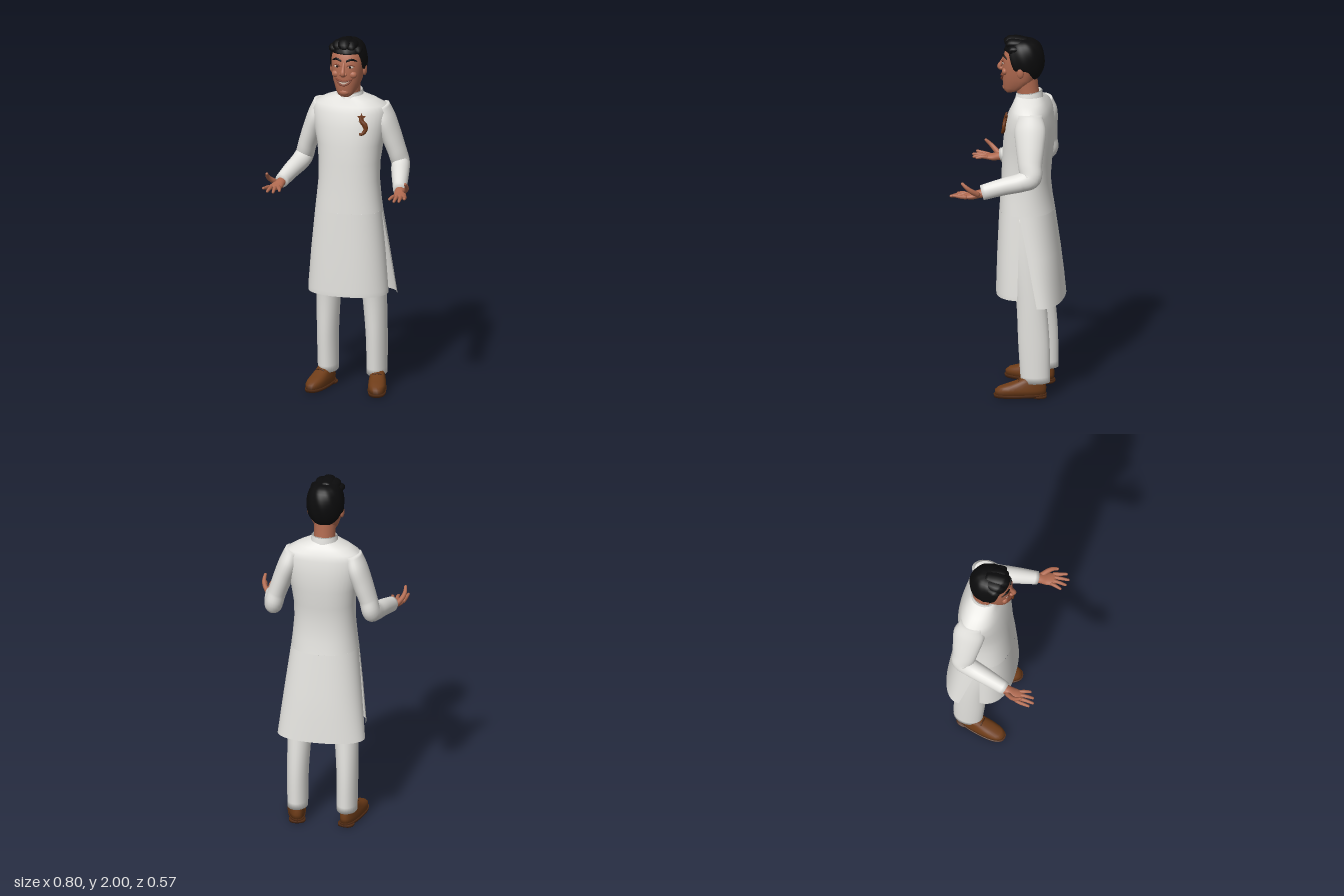
import * as THREE from 'three';

const V = (x, y, z) => new THREE.Vector3(x, y, z);
const mat = (name, color, side = THREE.FrontSide) => {
  const m = new THREE.MeshStandardMaterial({ color, side });
  m.name = name;
  return m;
};

// Skin a list of equal-length rings; rings turn anticlockwise about the direction of travel.
function loft(rings, closed = true, caps = true) {
  const n = rings[0].length, pos = [], idx = [];
  rings.forEach(r => r.forEach(p => pos.push(p.x, p.y, p.z)));
  for (let i = 0; i < rings.length - 1; i++)
    for (let j = 0; j < (closed ? n : n - 1); j++) {
      const k = (j + 1) % n, a = i * n + j, b = i * n + k;
      idx.push(a, b, a + n, b, b + n, a + n);
    }
  if (closed && caps) [0, rings.length - 1].forEach((ri, end) => {
    const c = V(0, 0, 0), ci = pos.length / 3;
    rings[ri].forEach(p => c.addScaledVector(p, 1 / n));
    pos.push(c.x, c.y, c.z);
    for (let j = 0; j < n; j++) {
      const a = ri * n + j, b = ri * n + (j + 1) % n;
      end ? idx.push(ci, a, b) : idx.push(ci, b, a);
    }
  });
  const g = new THREE.BufferGeometry();
  g.setAttribute('position', new THREE.Float32BufferAttribute(pos, 3));
  g.setIndex(idx);
  g.computeVertexNormals();
  return g;
}

// Tapered limb through rows [x, y, z, radius along ref, radius across].
function limb(rows, { ref = V(1, 0, 0), sides = 20, steps = 6, round = false } = {}) {
  const path = new THREE.CatmullRomCurve3(rows.map(r => V(r[0], r[1], r[2])));
  const size = new THREE.CatmullRomCurve3(rows.map(r => V(r[3], r[4], 0)), false, 'catmullrom');
  const n = (rows.length - 1) * steps, rings = [];
  const add = (t, k, off) => {
    const p = path.getPoint(t), d = path.getTangent(t), s = size.getPoint(t);
    const v = d.clone().cross(ref).normalize(), u = v.clone().cross(d);
    p.addScaledVector(d, off * s.y);
    rings.push(Array.from({ length: sides }, (_, j) => {
      const a = j / sides * Math.PI * 2;
      return p.clone().addScaledVector(u, k * s.x * Math.cos(a)).addScaledVector(v, k * s.y * Math.sin(a));
    }));
  };
  for (let i = 0; i <= n; i++) add(i / n, 1, 0);
  if (round) [[0.8, 0.55], [0.4, 0.85]].forEach(([k, o]) => add(1, k, o));
  return loft(rings, true, true);
}

// Horizontal oval: half width w, widest at zs, reaching zf in front and zb behind.
function oval(y, w, zs, zf, zb, from = 0, to = Math.PI * 2, n = 40, e = 2.3) {
  const open = to - from < 6.2, p = 2 / e;
  return Array.from({ length: open ? n + 1 : n }, (_, i) => {
    const a = from + (to - from) * i / n, c = Math.cos(a), s = Math.sin(a);
    return V(Math.sign(c) * w * Math.abs(c) ** p, y, zs + (s >= 0 ? zb - zs : zf - zs) * Math.abs(s) ** p);
  });
}

function mirrored(g) {
  const m = g.clone().scale(-1, 1, 1), ix = m.index.array;
  for (let i = 0; i < ix.length; i += 3) [ix[i], ix[i + 1]] = [ix[i + 1], ix[i]];
  return m;
}

const ball = (x, y, z, rx, ry, rz) => new THREE.SphereGeometry(1, 20, 14).scale(rx, ry, rz).translate(x, y, z);
const faceZ = (x, zf) => -0.05 + (zf + 0.05) * (1 - Math.abs(x / 0.088) ** 2.3) ** 0.435;

export function createModel() {
  const model = new THREE.Group();
  const cloth = mat('white cloth', 0xe3e2de, THREE.DoubleSide);
  const skin = mat('skin', 0xb06a50);
  const hair = mat('black hair', 0x0b0b0c, THREE.DoubleSide);
  const leather = mat('brown leather', 0x6e3c18);
  const sole = mat('dark sole', 0x4f2a12);
  const bronze = mat('bronze', 0x6a3413);
  const lip = mat('lip', 0x84432f);
  const ivory = mat('ivory', 0xd8c4b4);
  const dark = mat('dark iris', 0x24140d);
  const add = (name, g, m) => {
    const mesh = new THREE.Mesh(g, m);
    mesh.name = name;
    model.add(mesh);
  };
  const pair = (name, g, m) => { add('left' + name, g, m); add('right' + name, mirrored(g), m); };

  // Long tunic: body, then separate front and back skirts divided by side slits
  const body = [
    [1.03, 0.183, -0.065, 0.07, -0.225], [1.1, 0.175, -0.065, 0.066, -0.213], [1.2, 0.166, -0.07, 0.06, -0.202],
    [1.3, 0.168, -0.08, 0.056, -0.21], [1.4, 0.18, -0.1, 0.051, -0.221], [1.5, 0.203, -0.11, 0.04, -0.222],
    [1.58, 0.212, -0.12, 0.02, -0.21], [1.615, 0.195, -0.118, 0.003, -0.197], [1.645, 0.14, -0.105, -0.01, -0.18],
    [1.67, 0.072, -0.09, -0.02, -0.16]];
  add('tunicBody', loft(body.map(r => oval(...r)), true, false), cloth);
  const front = [[0.565, 0.221, -0.06, 0.085, 0], [0.59, 0.221, -0.06, 0.086, 0], [0.8, 0.205, -0.063, 0.08, 0], body[0]];
  add('tunicFrontSkirt', loft(front.map(r => oval(...r, Math.PI, Math.PI * 2, 24)), false), cloth);
  const back = [[0.53, 0.24, -0.17, 0, -0.282], [0.65, 0.227, -0.145, 0, -0.272], [0.8, 0.21, -0.115, 0, -0.256], body[0]];
  add('tunicBackSkirt', loft(back.map(r => oval(...r, 0, Math.PI, 24)), false), cloth);

  // Stand collar, open at the throat
  const gap = 0.14, start = -Math.PI / 2 + gap, end = Math.PI * 1.5 - gap;
  const collar = [[1.64, 0.078], [1.69, 0.07], [1.695, 0.066], [1.65, 0.064]].map(([y, r]) =>
    oval(y, r, -0.088, -0.088 + r, -0.09 - r, start, end, 40, 2).map(p => {
      if (y > 1.66) p.y += -0.12 * (p.z + 0.088) - (p.z > -0.03 && Math.abs(p.x) < 0.015 ? 0.012 : 0);
      return p;
    }));
  add('collar', loft(collar, false), cloth);

  // Sleeves, trousers
  pair('Sleeve', limb([
    [0.163, 1.605, -0.12, 0.046, 0.066], [0.186, 1.53, -0.125, 0.056, 0.086], [0.219, 1.44, -0.13, 0.054, 0.078],
    [0.25, 1.35, -0.135, 0.05, 0.066], [0.268, 1.285, -0.14, 0.05, 0.06], [0.279, 1.262, -0.095, 0.05, 0.052],
    [0.302, 1.24, 0, 0.045, 0.047], [0.33, 1.208, 0.116, 0.036, 0.042]], { sides: 24 }), cloth);
  pair('TrouserLeg', limb([
    [0.136, 0.085, -0.145, 0.055, 0.08], [0.136, 0.3, -0.137, 0.058, 0.086], [0.127, 0.55, -0.12, 0.066, 0.082],
    [0.112, 0.8, -0.09, 0.072, 0.088], [0.09, 1.02, -0.07, 0.075, 0.088]], { sides: 24 }), cloth);

  // Shoes, toes turned out
  const place = g => g.rotateY(0.22).translate(0.126, 0, -0.205);
  const shoeRing = ([y, z0, z1, w]) => oval(y, w, (z0 + z1) / 2, z1, z0, 0, Math.PI * 2, 32, 2.5)
    .map(p => { p.x *= 0.86 + 0.6 * p.z; return p; });
  const shoe = rows => place(loft(rows.map(shoeRing)));
  pair('ShoeUpper', shoe([[0.015, 0.005, 0.28, 0.049], [0.045, 0.002, 0.28, 0.051], [0.06, 0.002, 0.262, 0.049],
    [0.076, 0.004, 0.215, 0.046], [0.095, 0.008, 0.16, 0.042], [0.115, 0.012, 0.125, 0.038]]), leather);
  pair('ShoeSole', shoe([[0.006, 0, 0.284, 0.051], [0.022, 0, 0.287, 0.053]]), sole);
  pair('ShoeHeel', shoe([[0, 0, 0.08, 0.05], [0.012, 0, 0.08, 0.05]]), sole);
  [0.15, 0.175].forEach(z => pair('ShoeLace', place(limb(
    [[-0.024, 0.245 - z, z, 0.004, 0.004], [0, 0.253 - z, z, 0.004, 0.004], [0.024, 0.245 - z, z, 0.004, 0.004]],
    { ref: V(0, 1, 0), sides: 8, steps: 4 })), sole));

  // Open hands, palms up, thumbs outward
  pair('Palm', limb([[0.33, 1.206, 0.1, 0.027, 0.023], [0.333, 1.202, 0.13, 0.027, 0.022],
    [0.343, 1.193, 0.165, 0.035, 0.019], [0.351, 1.192, 0.205, 0.036, 0.012]], { round: true }), skin);
  [[0.323, 0.307, 1.192, 0.25], [0.341, 0.337, 1.188, 0.271], [0.36, 0.367, 1.193, 0.279], [0.379, 0.393, 1.204, 0.262]]
    .forEach(([bx, tx, ty, tz]) => pair('Finger', limb([[bx, 1.192, 0.19, 0.0095, 0.0105],
      [(bx + tx) / 2, 1.197, (0.19 + tz) / 2, 0.01, 0.01], [tx, ty, tz, 0.0075, 0.0075]],
    { sides: 10, steps: 4, round: true }), skin));
  pair('Thumb', limb([[0.352, 1.2, 0.13, 0.014, 0.016], [0.379, 1.228, 0.165, 0.013, 0.014],
    [0.388, 1.25, 0.19, 0.011, 0.011], [0.386, 1.272, 0.214, 0.008, 0.008]], { sides: 10, steps: 4, round: true }), skin);

  // Neck and head
  add('neck', limb([[0, 1.6, -0.095, 0.06, 0.062], [0, 1.68, -0.083, 0.058, 0.06], [0, 1.79, -0.065, 0.06, 0.066]]), skin);
  add('head', loft([[1.684, 0.024, 0.02, 0.036, 0], [1.695, 0.042, 0, 0.047, -0.03], [1.715, 0.056, -0.02, 0.053, -0.07],
    [1.74, 0.067, -0.04, 0.054, -0.1], [1.77, 0.078, -0.05, 0.058, -0.125], [1.82, 0.086, -0.05, 0.057, -0.14],
    [1.87, 0.089, -0.05, 0.054, -0.15], [1.92, 0.087, -0.05, 0.042, -0.145], [1.955, 0.062, -0.05, 0.012, -0.12],
    [1.97, 0.03, -0.05, -0.02, -0.08]].map(r => oval(...r))), skin);
  pair('Ear', ball(0.091, 1.82, -0.055, 0.012, 0.032, 0.02).rotateX(0), skin);
  pair('Cheek', ball(0.046, 1.812, 0.036, 0.024, 0.02, 0.017), skin);
  add('nose', limb([[0, 1.88, 0.046, 0.009, 0.008], [0, 1.85, 0.06, 0.01, 0.011], [0, 1.824, 0.074, 0.014, 0.013],
    [0, 1.811, 0.066, 0.012, 0.01]], { round: true }), skin);
  pair('Nostril', ball(0.013, 1.818, 0.062, 0.009, 0.009, 0.012), skin);
  add('chin', ball(0, 1.712, 0.042, 0.027, 0.018, 0.015), skin);

  // Facial strips run along x and hug the face
  const strip = (pts, zf, a, b) => limb(pts.map(([x, y, k = 1]) => [x, y, faceZ(x, zf), a * k, b * k]),
    { ref: V(0, 1, 0), sides: 10, steps: 5 });
  pair('Eye', ball(0.037, 1.858, faceZ(0.037, 0.054) - 0.002, 0.017, 0.009, 0.007), ivory);
  pair('Iris', ball(0.036, 1.858, faceZ(0.036, 0.054) + 0.003, 0.007, 0.0075, 0.003), dark);
  pair('Eyelid', strip([[0.018, 1.86, 0.6], [0.036, 1.869], [0.057, 1.86, 0.6]], 0.058, 0.004, 0.004), lip);
  pair('Eyebrow', strip([[0.014, 1.889, 0.7], [0.04, 1.899], [0.068, 1.886, 0.4]], 0.053, 0.0065, 0.005), hair);
  add('teeth', strip([[-0.042, 1.785, 0.3], [0, 1.766], [0.042, 1.785, 0.3]], 0.057, 0.011, 0.005), ivory);
  add('upperLip', strip([[-0.047, 1.79, 0.5], [-0.02, 1.781], [0, 1.778], [0.02, 1.781], [0.047, 1.79, 0.5]], 0.06, 0.0055, 0.007), lip);
  add('lowerLip', strip([[-0.045, 1.787, 0.5], [-0.023, 1.764], [0, 1.756], [0.023, 1.764], [0.045, 1.787, 0.5]], 0.058, 0.006, 0.008), lip);

  // Hair cap: hairline high on the brow, lower at the ears and nape
  const hairRings = [], rows = 14, cols = 64, ss = THREE.MathUtils.smoothstep;
  for (let i = -1; i <= rows; i++) hairRings.push(Array.from({ length: cols }, (_, j) => {
    const a = j / cols * Math.PI * 2, f = -Math.sin(a);
    const line = 1.77 + 0.06 * ss(f, -0.9, -0.2) + 0.095 * ss(f, 0.3, 0.7);
    const low = Math.asin((line - 1.87) / 0.118), el = low + (1.55 - low) * Math.max(i, 0) / rows;
    const r = Math.cos(el) ** 0.6 * (i < 0 ? 0.78 : 1 + 0.012 * Math.sin(a * 9 + el * 4));
    return V(0.102 * r * Math.cos(a), 1.87 + 0.118 * Math.sin(el), -0.06 + (f > 0 ? 0.115 : 0.112) * r * f);
  }));
  add('hairCap', loft(hairRings), hair);
  // Swept-back locks above the brow
  [[-0.072, 1.945, 0.032], [-0.04, 1.962, 0.04], [-0.005, 1.97, 0.042], [0.03, 1.964, 0.038], [0.066, 1.94, 0.03]]
    .forEach(([x, y, r]) => add('hairLock', limb([[x * 0.95, y - 0.012, 0.018 - Math.abs(x) * 0.4, r * 0.6, 0.016],
      [x, y, 0.03 - Math.abs(x) * 0.45, r * 0.8, r * 0.6], [x * 0.9, y + 0.004, -0.02, r, r * 0.65],
      [x * 0.7, y, -0.08, r * 0.7, r * 0.5]], { sides: 14, steps: 4 }), hair));

  // Chest brooch: curling body with a pointed crest
  add('broochBody', limb([[0.088, 1.575, 0.022, 0.01, 0.009], [0.093, 1.55, 0.028, 0.012, 0.01],
    [0.112, 1.53, 0.03, 0.015, 0.01], [0.117, 1.505, 0.032, 0.012, 0.01], [0.1, 1.482, 0.04, 0.009, 0.009],
    [0.083, 1.482, 0.044, 0.005, 0.006]], { sides: 12 }), bronze);
  const star = new THREE.Shape(Array.from({ length: 10 }, (_, i) => {
    const a = i / 10 * Math.PI * 2 + Math.PI / 2, r = i % 2 ? 0.011 : 0.026;
    return new THREE.Vector2(r * Math.cos(a), r * Math.sin(a));
  }));
  add('broochCrest', new THREE.ExtrudeGeometry(star, { depth: 0.009, bevelEnabled: false })
    .rotateX(-0.2).rotateY(0.25).translate(0.092, 1.568, 0.02), bronze);

  return model;
}
